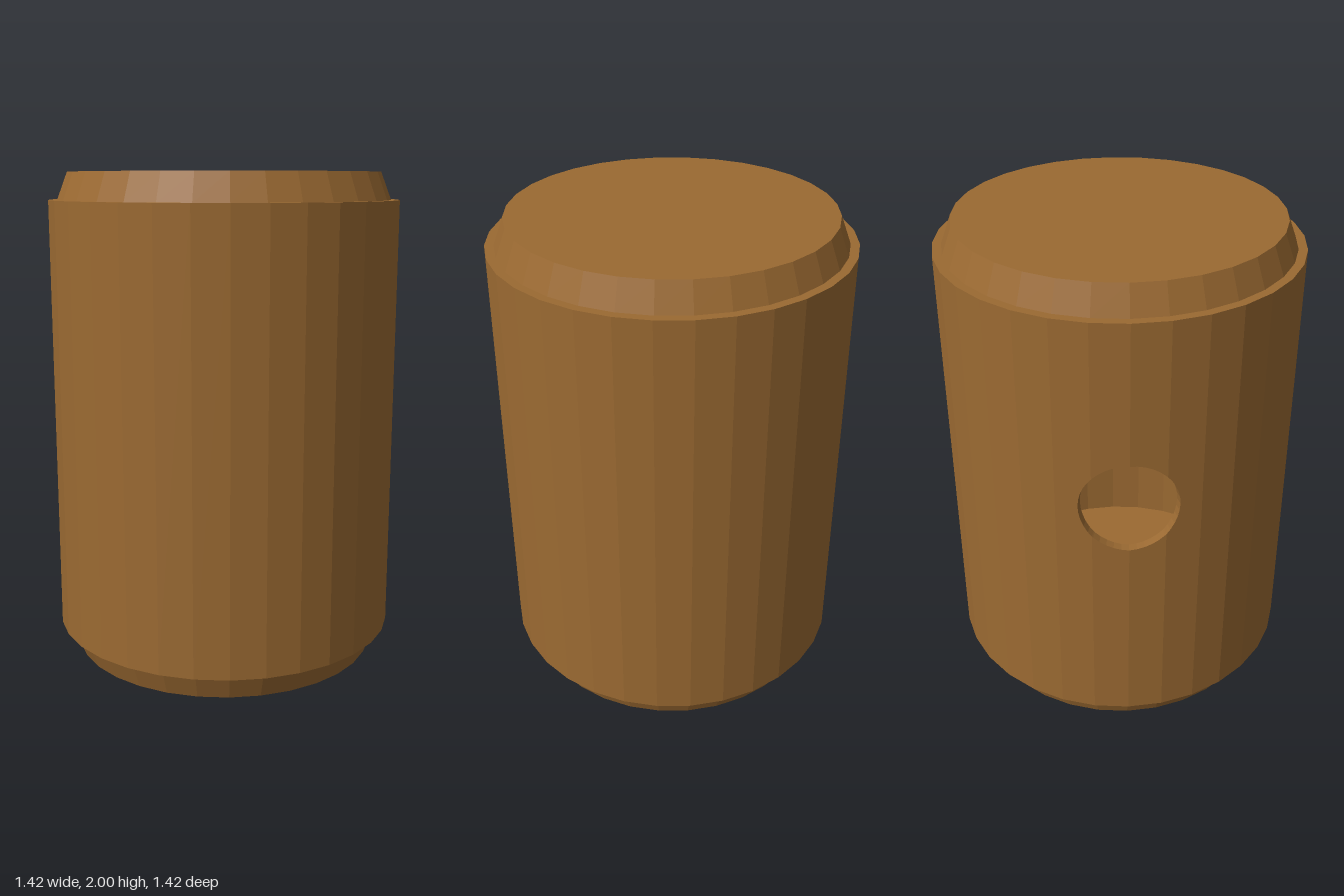
import * as THREE from 'three';

const SIDES = 32, STEP = (2 * Math.PI) / SIDES;
const R_OUT = 0.712, R_IN = 0.677, R_END = 0.635; // sleeve outside, sleeve inside, plug end
const Y0 = 0.11, Y1 = 1.89;                       // sleeve bottom and top
const HOLE_Y = 1.135, HOLE_R = 0.19;

// Hollow sleeve with a round hole on the -x side, built column by column
function sleeveGeometry() {
  // Column angles, measured from -x towards +z: facet corners plus hole outline
  const angles = [];
  for (let i = -SIDES / 2; i <= SIDES / 2; i++) angles.push(i * STEP);
  for (let k = 0; k <= 20; k++) {
    if (k !== 10) angles.push(Math.asin((-HOLE_R * Math.cos((Math.PI * k) / 20)) / R_OUT));
  }
  angles.sort((a, b) => a - b);

  // Half height of the hole at an angle
  const half = (a) => {
    if (Math.abs(a) > 1) return 0;
    const z = R_OUT * Math.sin(a), d = HOLE_R * HOLE_R - z * z;
    return d > 1e-9 ? Math.sqrt(d) : 0;
  };
  // Point on the 32-sided wall
  const point = (r, a, y) => {
    const inFacet = a - Math.floor(a / STEP + 1e-9) * STEP - STEP / 2;
    const d = (r * Math.cos(STEP / 2)) / Math.cos(inFacet);
    return [-d * Math.cos(a), y, d * Math.sin(a)];
  };

  const pos = [];
  const quad = (a, b, c, d) => pos.push(...a, ...b, ...c, ...a, ...c, ...d);
  // One wall piece: outside, inside, upper edge and lower edge
  const piece = (a0, a1, lo0, lo1, hi0, hi1) => {
    const ring = (r) => [point(r, a0, lo0), point(r, a1, lo1), point(r, a1, hi1), point(r, a0, hi0)];
    const o = ring(R_OUT), n = ring(R_IN);
    quad(o[0], o[1], o[2], o[3]);
    quad(n[3], n[2], n[1], n[0]);
    quad(o[3], o[2], n[2], n[3]);
    quad(n[0], n[1], o[1], o[0]);
  };

  for (let i = 0; i < angles.length - 1; i++) {
    const a0 = angles[i], a1 = angles[i + 1], h0 = half(a0), h1 = half(a1);
    if (h0 === 0 && h1 === 0) {
      piece(a0, a1, Y0, Y0, Y1, Y1);
    } else {
      piece(a0, a1, Y0, Y0, HOLE_Y - h0, HOLE_Y - h1);
      piece(a0, a1, HOLE_Y + h0, HOLE_Y + h1, Y1, Y1);
    }
  }
  const geo = new THREE.BufferGeometry();
  geo.setAttribute('position', new THREE.Float32BufferAttribute(pos, 3));
  geo.computeVertexNormals();
  return geo;
}

export function createModel() {
  const group = new THREE.Group();
  const wood = new THREE.MeshStandardMaterial({ color: 0x9b6a32, flatShading: true });
  const add = (name, geo, y = 0) => {
    const mesh = new THREE.Mesh(geo, wood);
    mesh.name = name;
    mesh.position.y = y;
    group.add(mesh);
  };

  add('sleeve', sleeveGeometry());

  // Tapered plugs closing both ends
  const h = 2 - Y1;
  add('topPlug', new THREE.CylinderGeometry(R_END, R_IN, h, SIDES), 2 - h / 2);
  add('bottomPlug', new THREE.CylinderGeometry(R_IN, R_END, h, SIDES), h / 2);
  return group;
}
